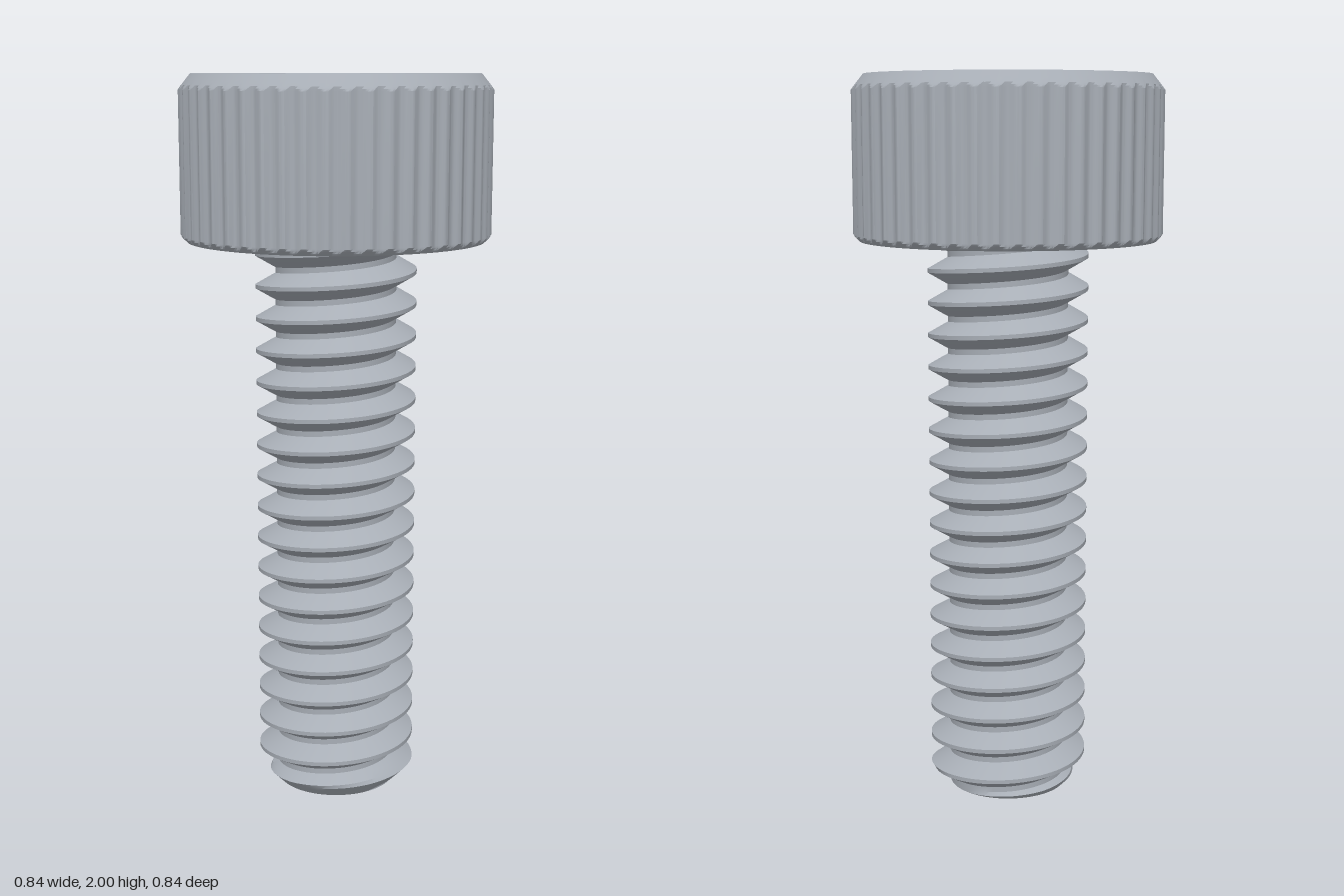
import * as THREE from 'three';
import { toCreasedNormals } from 'three/addons/utils/BufferGeometryUtils.js';

const TAU = Math.PI * 2;
const TOP = 2, HEAD_BASE = 1.556;        // head extent
const TOP_R = 0.389, HEAD_R = 0.422;     // flat top and knurl peak radii
const UNDER_R = 0.405;
const CREST = 0.221, ROOT = 0.166, PITCH = 0.0889;
const HEX_R = 0.192, HEX_RIM = 0.212;    // socket corner radii

// Wraps a grid of rows and columns around the y axis; fn(i, t) returns [radius, y].
function wrap(rows, cols, fn, inward = false) {
  const pos = [], index = [];
  for (let i = 0; i < rows; i++) {
    for (let j = 0; j <= cols; j++) {
      const t = (j / cols) * TAU;
      const [r, y] = fn(i, t);
      pos.push(r * Math.cos(t), y, -r * Math.sin(t));
    }
  }
  for (let i = 0; i < rows - 1; i++) {
    for (let j = 0; j < cols; j++) {
      const a = i * (cols + 1) + j, b = a + 1, d = a + cols + 1, c = d + 1;
      // skip strips collapsed by the end clamps
      if (pos[a * 3 + 1] === pos[d * 3 + 1] && pos[b * 3 + 1] === pos[c * 3 + 1]) continue;
      if (inward) index.push(a, c, b, a, d, c);
      else index.push(a, b, c, a, c, d);
    }
  }
  const g = new THREE.BufferGeometry();
  g.setAttribute('position', new THREE.Float32BufferAttribute(pos, 3));
  g.setIndex(index);
  return toCreasedNormals(g, 0.5);
}

// Horizontal disc facing up or down
function disc(radius, sides, y, up) {
  const g = new THREE.CircleGeometry(radius, sides);
  g.rotateX(up ? -Math.PI / 2 : Math.PI / 2);
  return g.translate(0, y, 0);
}

// Thread cross-section over one pitch: [offset / pitch, radius], crest centred on 0
const profile = [
  [-0.0625, CREST], [0.0625, CREST],
  [0.18, (CREST * 2 + ROOT) / 3], [0.3, (CREST + ROOT * 2) / 3],
  [0.415, ROOT], [0.585, ROOT],
  [0.7, (CREST + ROOT * 2) / 3], [0.82, (CREST * 2 + ROOT) / 3],
];

function threadGeometry() {
  const turns = Math.ceil(HEAD_BASE / PITCH) + 3;
  const end = HEAD_BASE + 0.005;
  return wrap(turns * profile.length, 96, (i, t) => {
    const [u, r] = profile[i % profile.length];
    const turn = Math.floor(i / profile.length) - 2;
    const raw = 0.055 + (turn + u + t / TAU) * PITCH;
    const y = Math.min(Math.max(raw, 0), end);
    return [Math.min(r, ROOT + y), y];   // 45 degree lead-in at the tip
  });
}

// Knurled side, trimmed by the chamfers above and below
function headSideGeometry() {
  const levels = [HEAD_BASE, 1.562, 1.568, 1.574, 1.95, 1.958, 1.964, 1.97, 1.98, 1.99, TOP];
  return wrap(levels.length, 48 * 8, (i, t) => {
    const y = levels[i];
    const knurl = HEAD_R - 0.005 + 0.005 * Math.cos(48 * t);
    return [Math.min(knurl, TOP_R + (TOP - y) * 0.8, UNDER_R + (y - HEAD_BASE)), y];
  });
}

// Flat top ring with a hexagonal opening
function headTopGeometry() {
  const shape = new THREE.Shape().absarc(0, 0, TOP_R, 0, TAU, false);
  const hex = [];
  for (let k = 0; k < 6; k++) {
    const a = (k / 6) * TAU;
    hex.push(new THREE.Vector2(HEX_RIM * Math.cos(a), HEX_RIM * Math.sin(a)));
  }
  shape.holes.push(new THREE.Path(hex));
  return new THREE.ShapeGeometry(shape, 96).rotateX(-Math.PI / 2).translate(0, TOP, 0);
}

export function createModel() {
  const steel = new THREE.MeshStandardMaterial({ color: 0xa8aeb6 });
  steel.name = 'steel grey';

  const model = new THREE.Group();
  model.name = 'socketScrew';
  const add = (parent, name, geometry) => {
    const mesh = new THREE.Mesh(geometry, steel);
    mesh.name = name;
    parent.add(mesh);
  };

  const head = new THREE.Group();
  head.name = 'head';
  add(head, 'knurledSide', headSideGeometry());
  add(head, 'headTop', headTopGeometry());
  add(head, 'headUnderside', disc(UNDER_R, 96, HEAD_BASE, false));

  // Hexagonal socket: bevelled rim, walls and floor
  const floorY = TOP - 0.222;
  const socket = [[HEX_R, floorY], [HEX_R, TOP - 0.015], [HEX_RIM, TOP]];
  add(head, 'socketWalls', wrap(3, 6, (i) => socket[i], true));
  add(head, 'socketFloor', disc(HEX_R, 6, floorY, true));

  const shank = new THREE.Group();
  shank.name = 'shank';
  add(shank, 'thread', threadGeometry());
  add(shank, 'tip', disc(ROOT, 96, 0, false));

  model.add(head, shank);
  return model;
}
